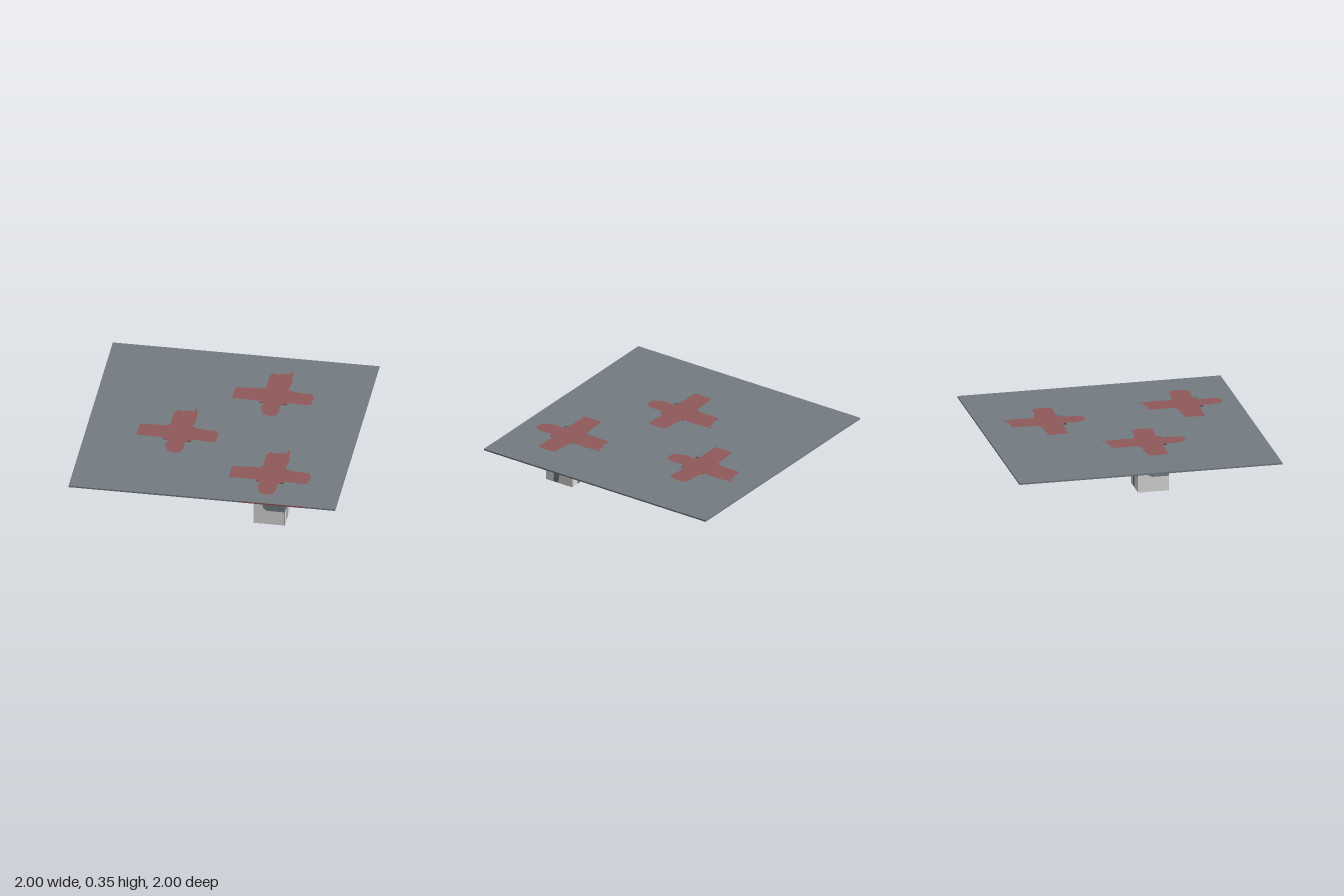
import * as THREE from 'three';

const mat = (name, color) => Object.assign(new THREE.MeshStandardMaterial({ color }), { name });

const TUBE = 0.235;   // outer width of a tube
const HOLE = 0.207;   // inner width of a tube and its opening
const DROP = 0.34;    // underside of the plate
const TOP = 0.352;    // upper side of the plate
const SPOTS = [[0.305, -0.46], [-0.31, 0.155], [0.46, 0.615]];

function square(size, x = 0, y = 0, Type = THREE.Shape) {
  const h = size / 2;
  return new Type([[-h, -h], [h, -h], [h, h], [-h, h]].map(([a, b]) => new THREE.Vector2(x + a, y + b)));
}

// Upright extrusion: shape y becomes -z, depth becomes height
function slab(shape, depth) {
  return new THREE.ExtrudeGeometry(shape, { depth, bevelEnabled: false }).rotateX(-Math.PI / 2);
}

function polygon(points) {
  return new THREE.Shape(points.map(([x, y]) => new THREE.Vector2(x, y)));
}

// Pale border on the front and left-hand tube walls
function borderShape() {
  const h = TUBE / 2, s = new THREE.Shape();
  s.moveTo(-h, 0);
  s.lineTo(h, 0);
  s.lineTo(h, 0.115);
  s.lineTo(0, 0.115);
  s.quadraticCurveTo(-0.05, 0.115, -0.05, 0.17);
  s.lineTo(-0.05, DROP);
  s.lineTo(-h, DROP);
  return s;
}

// Two pale feet with a gap between them
function footShapes() {
  const h = TUBE / 2, a = new THREE.Shape(), b = new THREE.Shape();
  a.moveTo(-h, 0);
  a.lineTo(-0.052, 0);
  a.lineTo(-0.045, 0.07);
  a.quadraticCurveTo(-0.045, 0.115, -0.08, 0.118);
  a.lineTo(-h, 0.112);
  b.moveTo(-0.008, 0);
  b.lineTo(h, 0);
  b.lineTo(h, 0.115);
  b.lineTo(0.04, 0.115);
  b.quadraticCurveTo(0.002, 0.11, 0.002, 0.065);
  return [a, b];
}

// Worn cross around an opening, given as x and -z
function crossShape() {
  const s = polygon([
    [-0.31, 0.07], [-0.295, 0.02], [-0.285, 0.085], [-0.2, 0.09], [-0.1, 0.095],
    [-0.085, 0.12], [-0.085, 0.28], [-0.06, 0.32], [-0.02, 0.3], [0.02, 0.325],
    [0.06, 0.31], [0.065, 0.36], [0.085, 0.34], [0.085, 0.29], [0.095, 0.22], [0.085, 0.1],
    [0.17, 0.08], [0.27, 0.075], [0.29, 0.02], [0.28, -0.07], [0.25, -0.08],
    [0.12, -0.07], [0.07, -0.1], [0.06, -0.13], [0.065, -0.2], [0.05, -0.255],
    [0, -0.27], [-0.05, -0.25], [-0.08, -0.16], [-0.065, -0.105],
    [-0.1, -0.075], [-0.2, -0.07], [-0.31, -0.07],
  ].filter(([x, y]) => !(x === -0.295 && y === 0.02)));
  s.holes.push(square(HOLE, 0, 0, THREE.Path));
  return s;
}

export function createModel() {
  const model = new THREE.Group();
  model.name = 'platformWithSockets';
  const grey = mat('slateGrey', 0x747c81);
  const pale = mat('paleGrey', 0xdadada);
  const red = mat('dullRed', 0x905a5c);

  const add = (parent, name, geometry, material) => {
    const mesh = new THREE.Mesh(geometry, material);
    mesh.name = name;
    parent.add(mesh);
    return mesh;
  };

  // Plate with three square openings
  const plate = square(2);
  for (const [x, z] of SPOTS) plate.holes.push(square(HOLE, x, -z, THREE.Path));
  add(model, 'plate', slab(plate, TOP - DROP), grey).position.y = DROP;

  // Open square tubes with their paint
  const ring = square(TUBE);
  ring.holes.push(square(HOLE, 0, 0, THREE.Path));
  const tubeGeometry = slab(ring, DROP);
  const border = new THREE.ShapeGeometry(borderShape(), 8);
  const feet = new THREE.ShapeGeometry(footShapes(), 8);
  const cross = new THREE.ShapeGeometry(crossShape()).rotateX(-Math.PI / 2);
  const lining = new THREE.ShapeGeometry(polygon([
    [-0.075, 0.13], [-0.03, 0.11], [0.05, 0.12], [0.075, 0.15], [0.08, TOP], [-0.085, TOP],
  ]));

  for (const [x, z] of SPOTS) {
    const socket = new THREE.Group();
    socket.name = 'socket';
    socket.position.set(x, 0, z);
    model.add(socket);
    add(socket, 'tube', tubeGeometry, grey);
    add(socket, 'paintedCross', cross, red).position.y = TOP + 0.001;
    // Front, right, back, left as seen going round
    [border, feet, feet, border].forEach((paint, i) => {
      const wall = new THREE.Group();
      wall.name = 'wallPaint';
      wall.rotation.y = i * Math.PI / 2;
      socket.add(wall);
      add(wall, 'outerPaint', paint, pale).position.z = TUBE / 2 + 0.001;
      add(wall, 'innerPaint', lining, red).position.z = -HOLE / 2 + 0.001;
    });
  }

  // Red smear beneath the front corner, points as x and z
  const smear = new THREE.ShapeGeometry(polygon([
    [0.05, 0.88], [0.16, 0.83], [0.3, 0.84], [0.52, 0.78], [0.7, 0.8], [0.95, 0.76],
    [1, 0.8], [1, 1], [0.3, 1], [0.07, 0.96],
  ])).rotateX(Math.PI / 2);
  add(model, 'undersideSmear', smear, red).position.y = DROP - 0.001;
  const streak = new THREE.ShapeGeometry(polygon([
    [0.62, 0.68], [0.78, 0.66], [0.79, 0.69], [0.64, 0.71],
  ])).rotateX(Math.PI / 2);
  add(model, 'undersideStreak', streak, red).position.y = DROP - 0.001;

  // Red patch on the front edge of the plate
  add(model, 'edgePaint', new THREE.PlaneGeometry(0.48, TOP - DROP), red)
    .position.set(0.52, (TOP + DROP) / 2, 1.0006);

  return model;
}
